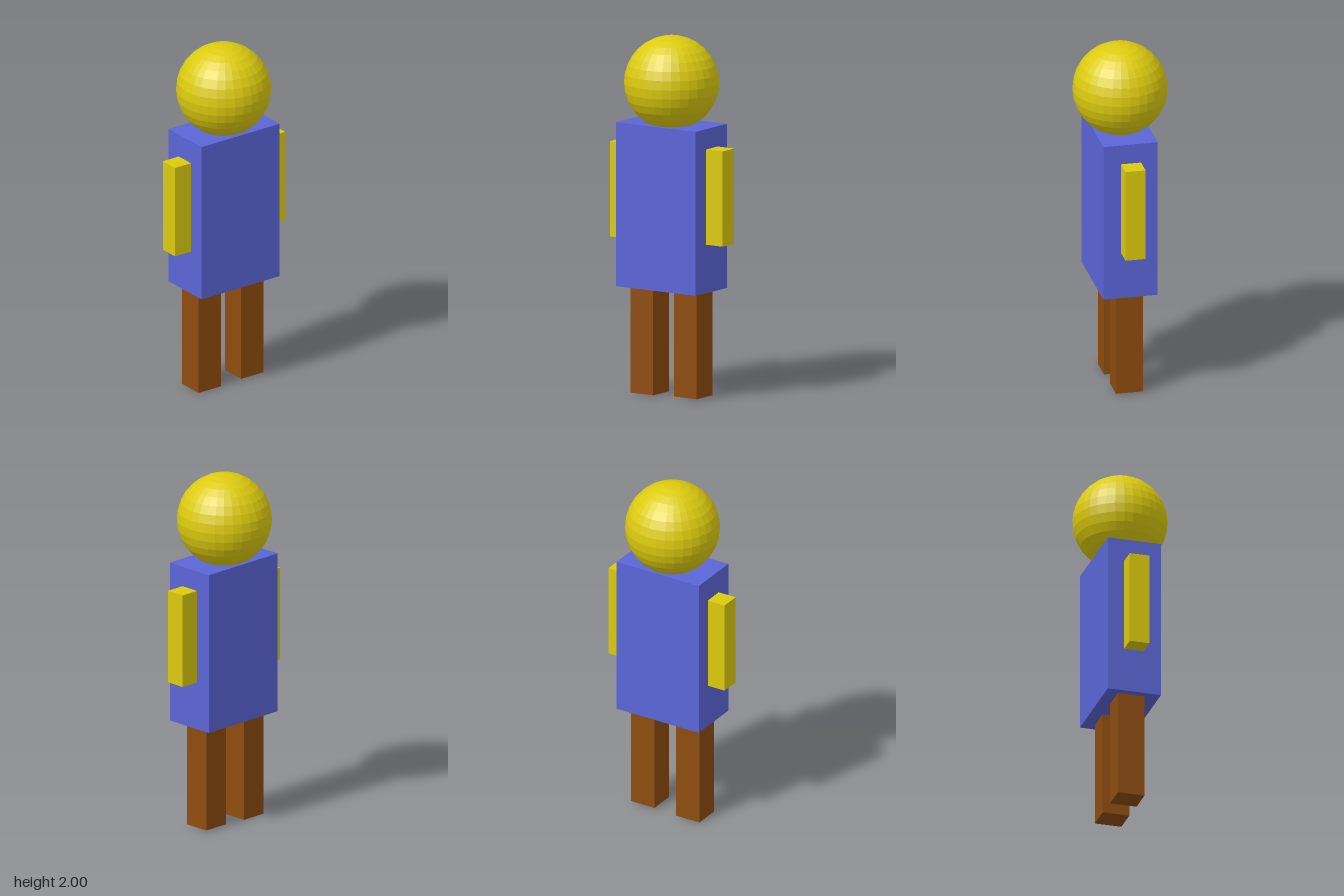
import * as THREE from 'three';

export function createModel() {
  const group = new THREE.Group();
  const material = (color) => new THREE.MeshStandardMaterial({ color, flatShading: true });
  const yellow = material(0xdccb0e);
  const blue = material(0x5b66d8);
  const brown = material(0x8f4c0e);

  const add = (name, geometry, mat, x, y, z) => {
    const mesh = new THREE.Mesh(geometry, mat);
    mesh.name = name;
    mesh.position.set(x, y, z);
    group.add(mesh);
  };

  // Faceted ball head, sunk slightly into the torso
  add('head', new THREE.SphereGeometry(0.261, 32, 16), yellow, -0.004, 1.739, 0);

  // Block torso
  add('torso', new THREE.BoxGeometry(0.531, 0.913, 0.304), blue, -0.002, 1.057, 0.003);

  // Arms: the left one sits a little higher
  const arm = new THREE.BoxGeometry(0.114, 0.53, 0.113);
  add('leftArm', arm, yellow, 0.317, 1.136, 0);
  add('rightArm', arm, yellow, -0.319, 1.117, 0);

  // Legs: the left one is raised very slightly
  const leg = new THREE.BoxGeometry(0.151, 0.6, 0.152);
  add('leftLeg', leg, brown, 0.138, 0.308, -0.003);
  add('rightLeg', leg, brown, -0.152, 0.3, -0.003);

  return group;
}
